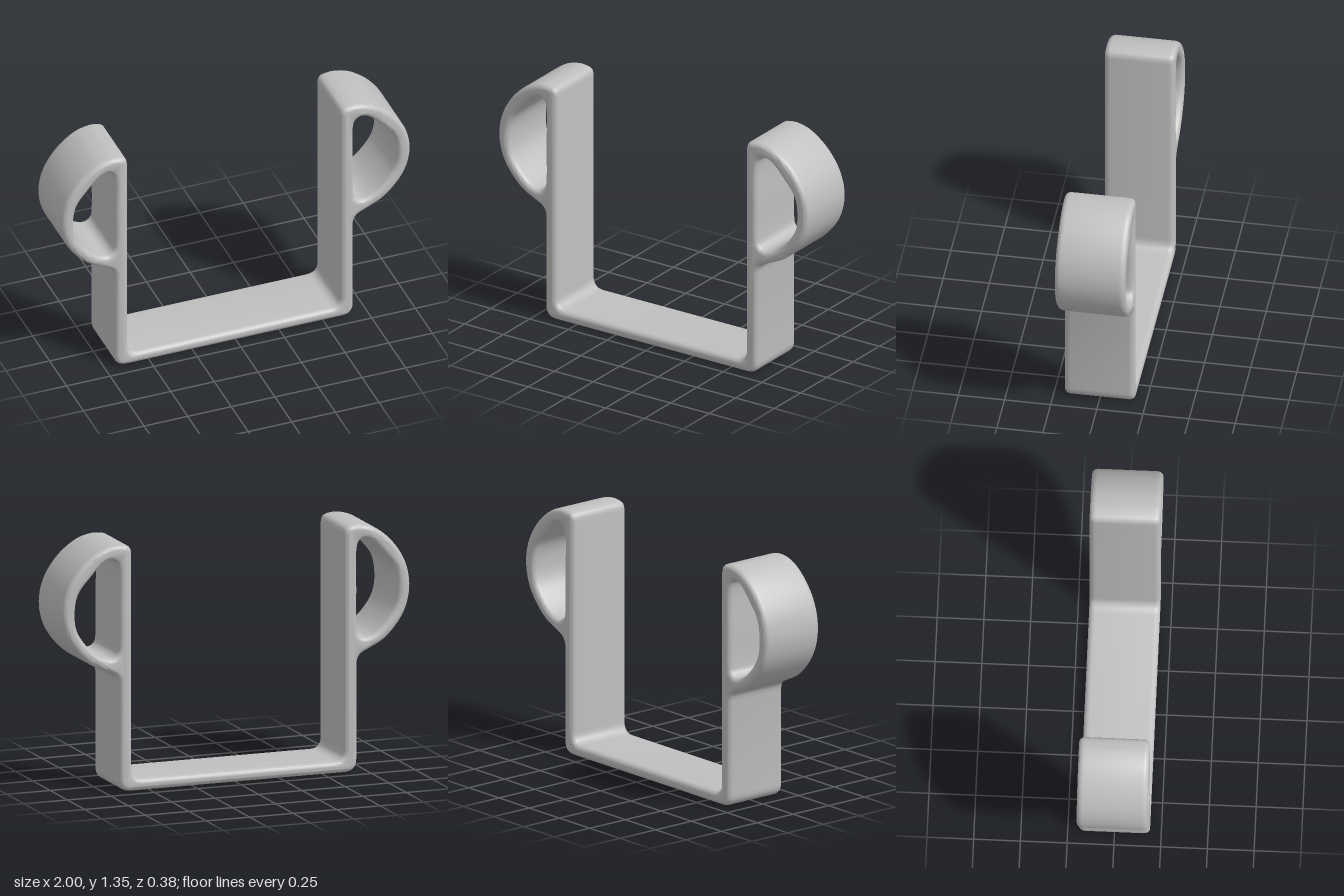
import * as THREE from 'three';
import { toCreasedNormals } from 'three/addons/utils/BufferGeometryUtils.js';

const DEPTH = 0.38, BEVEL = 0.026, ROUND = 0.032;

// Smooth run of 2D points through a few control points
function smooth(points, divisions, closed = false) {
  const curve = new THREE.CatmullRomCurve3(points.map(([x, y]) => new THREE.Vector3(x, y, 0)), closed, 'centripetal');
  const out = curve.getPoints(divisions).map(p => new THREE.Vector2(p.x, p.y));
  if (closed) out.pop();
  return out;
}

// Quadratic corner from a to b, pulled towards corner c
function corner(a, c, b) {
  return new THREE.QuadraticBezierCurve(new THREE.Vector2(...a), new THREE.Vector2(...c), new THREE.Vector2(...b)).getPoints(7);
}

// Mirror to the other side, whose wall stands slightly further out
const mirror = points => points
  .map(p => new THREE.Vector2(-(p.x + 0.0215 * Math.min(1, (1 - p.x) / 0.33)), p.y))
  .reverse();

export function createModel() {
  const group = new THREE.Group();
  group.name = 'handledCradle';
  const grey = new THREE.MeshStandardMaterial({ color: 0xbfbfbf });
  grey.name = 'plain grey';

  // Outer edge of one side: base corner, wall, handle loop and rounded top
  const outer = [
    ...corner([0.604, 0], [0.674, 0], [0.674, 0.07]),
    ...smooth([
      [0.674, 0.595], [0.682, 0.622], [0.70, 0.643], [0.75, 0.667], [0.84, 0.712], [0.93, 0.80],
      [0.98, 0.888], [1, 1.005], [0.973, 1.128], [0.893, 1.246], [0.78, 1.33], [0.69, 1.353],
      [0.65, 1.351],
    ], 60),
    ...corner([0.64, 1.349], [0.6, 1.345], [0.6, 1.3]),
  ];
  // Inside corner between wall and floor
  const inner = corner([0.6, 0.125], [0.6, 0.065], [0.54, 0.065]);

  // D-shaped finger hole
  const hole = smooth([
    [0.674, 1.21], [0.688, 1.258], [0.722, 1.273], [0.767, 1.255], [0.84, 1.182], [0.905, 1.10],
    [0.925, 1.0], [0.912, 0.898], [0.85, 0.807], [0.77, 0.745], [0.715, 0.733], [0.682, 0.755],
    [0.674, 0.80], [0.674, 1.0],
  ], 64, true);

  const right = [...outer, ...inner];
  const profile = new THREE.Shape([...right, ...mirror(right)]);
  profile.holes.push(new THREE.Path(hole), new THREE.Path(mirror(hole)));

  // Whole strap with softly rounded edges
  const geometry = new THREE.ExtrudeGeometry(profile, {
    depth: DEPTH - 2 * ROUND,
    bevelEnabled: true,
    bevelSize: BEVEL,
    bevelOffset: -BEVEL,
    bevelThickness: ROUND,
    bevelSegments: 5,
  });
  geometry.translate(0, 0, -DEPTH / 2 + ROUND);

  const strap = new THREE.Mesh(toCreasedNormals(geometry, 0.7), grey);
  strap.name = 'cradleStrapWithHandles';
  group.add(strap);
  return group;
}
